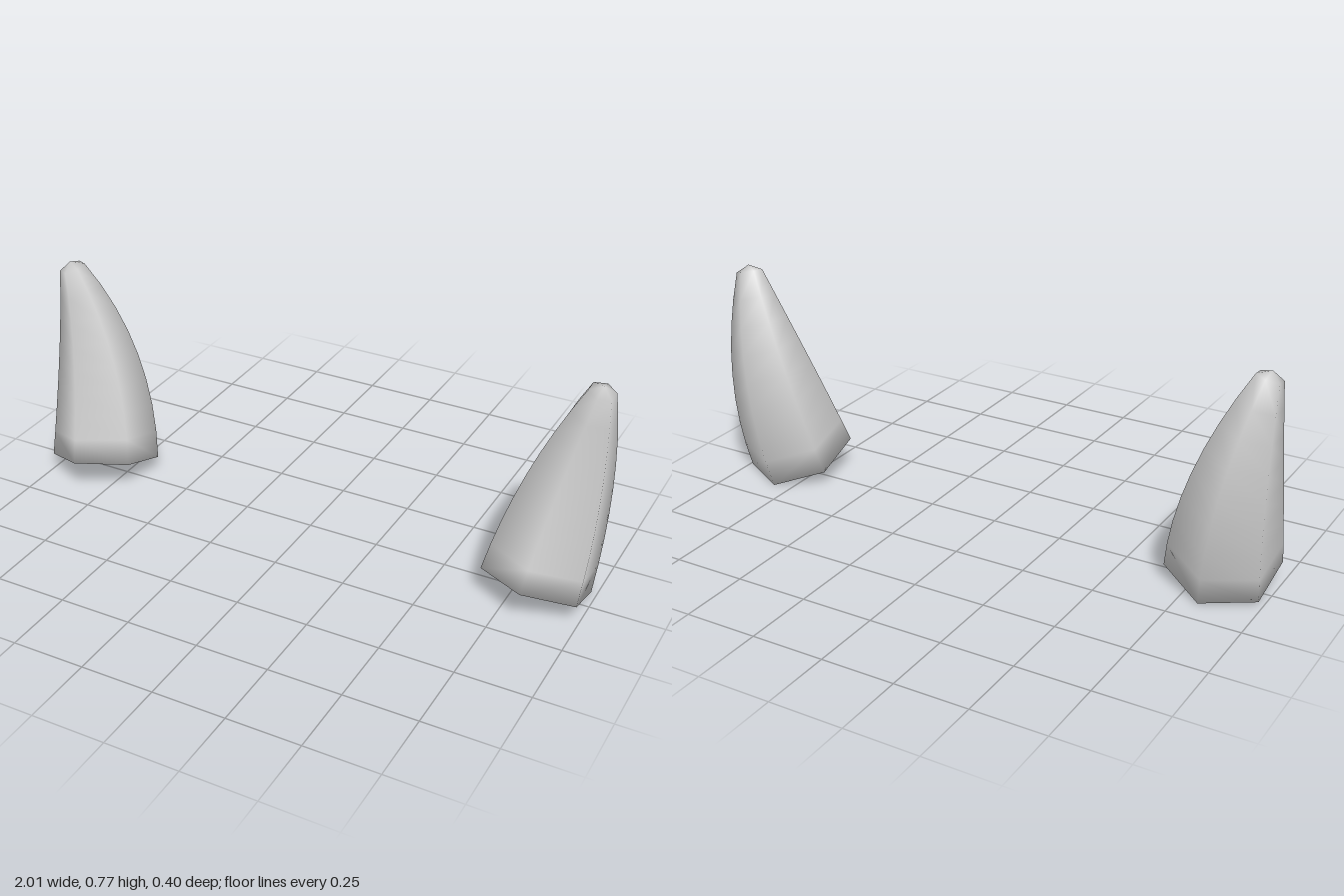
import * as THREE from 'three';

const SIDES = 6, STEPS = 8;

// Curved, tapering six-sided horn with closed ends; s = 1 for left, -1 for right
function hornGeometry(s) {
  const path = new THREE.QuadraticBezierCurve3(
    new THREE.Vector3(0.825, 0.056, 0.02),
    new THREE.Vector3(0.871, 0.401, -0.0965),
    new THREE.Vector3(0.957, 0.743, -0.047));
  const pos = [], idx = [];
  const add = (p) => pos.push(s * p.x, p.y, p.z);
  const tri = (a, b, c) => (s > 0 ? idx.push(a, b, c) : idx.push(a, c, b));

  // Rings along the path, one corner facing forward
  for (let i = 0; i <= STEPS; i++) {
    const t = i / STEPS, c = path.getPoint(t), up = path.getTangent(t);
    const r = 0.188 - 0.041 * t - 0.102 * t * t;
    const fwd = new THREE.Vector3(0, 0, 1).addScaledVector(up, -up.z).normalize();
    const out = new THREE.Vector3().crossVectors(up, fwd);
    for (let k = 0; k < SIDES; k++) {
      const a = (k / SIDES) * Math.PI * 2;
      add(c.clone().addScaledVector(fwd, r * Math.cos(a)).addScaledVector(out, r * Math.sin(a)));
    }
  }
  // Base centre and blunt tip
  const base = pos.length / 3, tip = base + 1, last = STEPS * SIDES;
  add(path.getPoint(0));
  add(path.getPoint(1).addScaledVector(path.getTangent(1), 0.022));

  for (let k = 0; k < SIDES; k++) {
    const n = (k + 1) % SIDES;
    for (let i = 0; i < STEPS; i++) {
      const a = i * SIDES + k, b = i * SIDES + n;
      tri(a, b, b + SIDES);
      tri(a, b + SIDES, a + SIDES);
    }
    tri(base, n, k);
    tri(tip, last + k, last + n);
  }
  const g = new THREE.BufferGeometry();
  g.setAttribute('position', new THREE.Float32BufferAttribute(pos, 3));
  g.setIndex(idx);
  g.computeVertexNormals();
  return g;
}

export function createModel() {
  const group = new THREE.Group();
  group.name = 'horns';
  const grey = new THREE.MeshStandardMaterial({ color: 0xcccccc });
  grey.name = 'horn grey';
  for (const [name, s] of [['leftHorn', 1], ['rightHorn', -1]]) {
    const horn = new THREE.Mesh(hornGeometry(s), grey);
    horn.name = name;
    group.add(horn);
  }
  return group;
}
